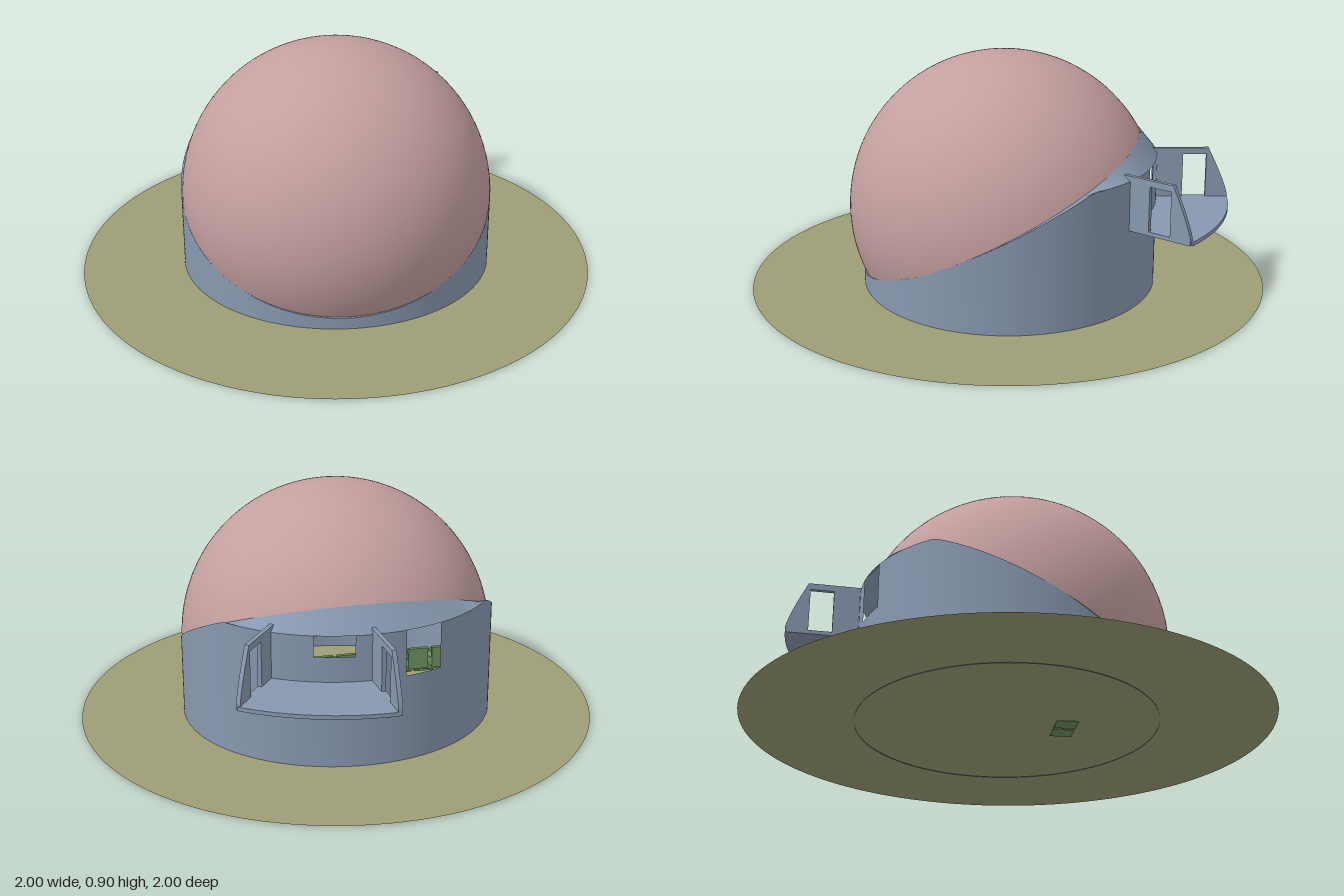
import * as THREE from 'three';

const rad = THREE.MathUtils.degToRad;
const material = (color, side = THREE.FrontSide) => new THREE.MeshStandardMaterial({ color, side });
const wallMat = material(0x8898b0, THREE.DoubleSide);
const domeMat = material(0xc49f9f, THREE.DoubleSide);
const groundMat = material(0x9d9e76, THREE.DoubleSide);
const seatMat = material(0x6f9160);

const SEGMENTS = 180;
const TILT = rad(27.2);
const DOME = { r: 0.6, y: 0.3, z: 0.015, lift: 0.027 };
const EAVES = 0.51;
// Openings in the wall: degrees from the back towards +x, and heights
const OPENINGS = [
  { from: -26, to: -12, bottom: 0.335 },
  { from: 6, to: 20, bottom: 0.43 },
];

function mesh(name, geometry, mat, parent) {
  const m = new THREE.Mesh(geometry, mat);
  m.name = name;
  parent.add(m);
  return m;
}

// Surface through closed rings; point(row, angle) gives a vertex, skip() leaves holes
function ringSurface(rows, point, skip = () => false) {
  const positions = [], index = [];
  for (let r = 0; r < rows; r++)
    for (let s = 0; s <= SEGMENTS; s++)
      positions.push(...point(r, (s / SEGMENTS) * Math.PI * 2));
  for (let r = 0; r < rows - 1; r++)
    for (let s = 0; s < SEGMENTS; s++) {
      if (skip(r, ((s + 0.5) / SEGMENTS) * 360)) continue;
      const a = r * (SEGMENTS + 1) + s, b = a + SEGMENTS + 1;
      index.push(a, a + 1, b, a + 1, b + 1, b);
    }
  const g = new THREE.BufferGeometry();
  g.setAttribute('position', new THREE.Float32BufferAttribute(positions, 3));
  g.setIndex(index);
  g.computeVertexNormals();
  return g;
}

// Oval plan of the wall, cut by the tilted plane and the level eaves
function wallPoint(angle, height) {
  const x = 0.605 * Math.sin(angle), z = -0.005 + 0.57 * Math.cos(angle);
  const plane = 0.33 - Math.tan(TILT) * (z - DOME.z);
  return [x, Math.min(height, plane, EAVES), z];
}

// Lower edge of the dome
function rimPoint(angle) {
  const r = Math.sqrt(DOME.r ** 2 - DOME.lift ** 2), c = r * Math.cos(angle);
  return [
    r * Math.sin(angle),
    DOME.y + DOME.lift * Math.cos(TILT) - c * Math.sin(TILT),
    DOME.z + DOME.lift * Math.sin(TILT) + c * Math.cos(TILT),
  ];
}

function addBuilding(parent) {
  const heights = [0, 0.335, 0.43, EAVES];
  mesh('drumWall', ringSurface(heights.length,
    (r, a) => wallPoint(a, heights[r]),
    (r, deg) => OPENINGS.some(o => {
      const fromBack = 180 - deg;
      return fromBack > o.from && fromBack < o.to && heights[r] >= o.bottom;
    })), wallMat, parent);

  // Sloping band between the wall and the dome
  mesh('domeSkirt', ringSurface(2,
    (r, a) => r ? rimPoint(a) : wallPoint(a, 1)), wallMat, parent);

  const cap = new THREE.SphereGeometry(DOME.r, 96, 48, 0, Math.PI * 2, 0, Math.acos(DOME.lift / DOME.r));
  const dome = mesh('dome', cap, domeMat, parent);
  dome.rotation.x = TILT;
  dome.position.set(0, DOME.y, DOME.z);
}

function addBalcony(parent) {
  const balcony = new THREE.Group();
  balcony.name = 'balcony';
  parent.add(balcony);

  // Fan-shaped floor
  const fan = new THREE.Shape();
  fan.absarc(0, 0, 0.85, rad(53.7), rad(92), false);
  fan.absarc(0, 0, 0.555, rad(91), rad(53), true);
  const floor = new THREE.ExtrudeGeometry(fan, { depth: 0.015, bevelEnabled: false, curveSegments: 24 });
  floor.rotateX(-Math.PI / 2);
  mesh('balconyFloor', floor, wallMat, balcony).position.y = 0.32;

  // Side screens with a tall opening and a curved outer edge
  const screen = new THREE.Shape();
  screen.moveTo(-0.01, 0.32);
  screen.lineTo(0.28, 0.32);
  screen.lineTo(0.28, 0.345);
  screen.quadraticCurveTo(0.268, 0.4, 0.203, 0.53);
  screen.lineTo(-0.01, 0.53);
  const hole = new THREE.Path();
  hole.moveTo(0.105, 0.335);
  hole.lineTo(0.105, 0.505);
  hole.lineTo(0.195, 0.505);
  hole.lineTo(0.195, 0.335);
  screen.holes.push(hole);
  const geometry = new THREE.ExtrudeGeometry(screen, { depth: 0.016, bevelEnabled: false });
  geometry.translate(0, 0, -0.008);
  const ends = [
    ['balconyScreenRight', -0.005, -0.57, -0.02, -0.28],
    ['balconyScreenLeft', 0.34, -0.45, 0.16, -0.23],
  ];
  for (const [name, x, z, dx, dz] of ends) {
    const m = mesh(name, geometry, wallMat, balcony);
    m.position.set(x, 0, z);
    m.rotation.y = Math.atan2(-dz, dx);
  }
}

// Raked rows of seats inside, rising towards the back
function addSeats(parent) {
  const seats = new THREE.Group();
  seats.name = 'seatRows';
  parent.add(seats);
  const cushion = new THREE.BoxGeometry(0.075, 0.03, 0.07);
  const back = new THREE.BoxGeometry(0.075, 0.08, 0.015);
  for (let row = 0; row < 6; row++) {
    const count = 2 + Math.min(row, 4) * 2, y = row * 0.055, z = 0.22 - row * 0.11;
    for (let i = 0; i < count; i++) {
      const x = (i - (count - 1) / 2) * 0.09;
      if (Math.hypot(x, z) > 0.48) continue;
      mesh('seatCushion', cushion, seatMat, seats).position.set(x, y + 0.015, z);
      mesh('seatBack', back, seatMat, seats).position.set(x, y + 0.04, z - 0.04);
    }
  }
}

export function createModel() {
  const model = new THREE.Group();
  model.name = 'tiltedDomeTheatre';

  const disc = new THREE.CircleGeometry(1, 128);
  disc.rotateX(-Math.PI / 2);
  mesh('ground', disc, groundMat, model).position.y = 0.002;

  addBuilding(model);
  addBalcony(model);
  addSeats(model);
  return model;
}
